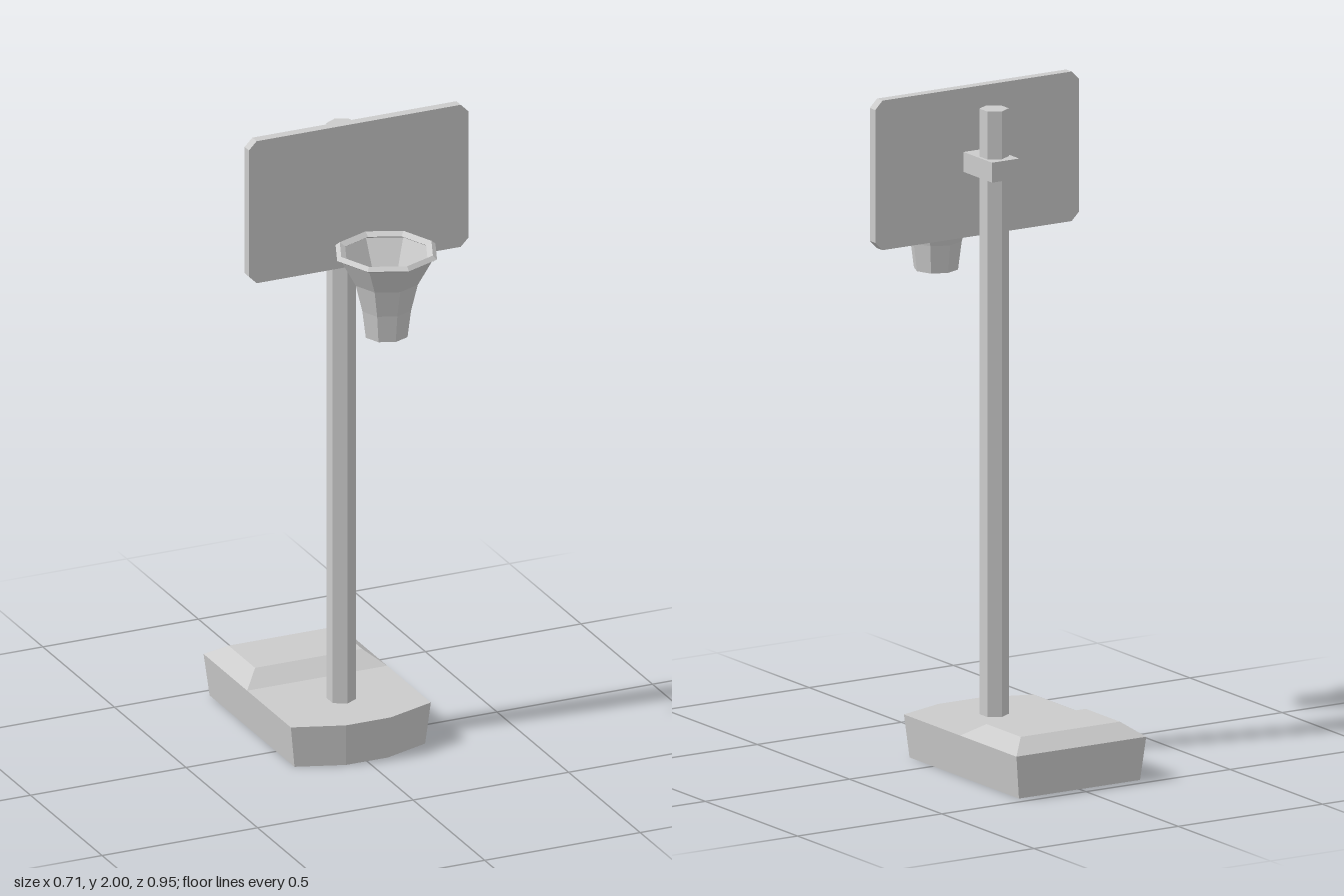
import * as THREE from 'three';
import { ConvexGeometry } from 'three/addons/geometries/ConvexGeometry.js';

const material = new THREE.MeshStandardMaterial({ color: 0xcccccc, flatShading: true });
const thinMaterial = material.clone();
thinMaterial.side = THREE.DoubleSide;

export function createModel() {
  const model = new THREE.Group();
  const add = (name, geometry, x = 0, y = 0, z = 0, mat = material) => {
    const mesh = new THREE.Mesh(geometry, mat);
    mesh.name = name;
    mesh.position.set(x, y, z);
    model.add(mesh);
  };

  // Convex solid from [halfWidth, y, z] points mirrored across x
  const mirroredHull = (points) => new ConvexGeometry(points.flatMap(([x, y, z]) => [
    new THREE.Vector3(x, y, z), new THREE.Vector3(-x, y, z),
  ]));

  // Tapered base with an angled front
  add('base', mirroredHull([
    [0.225, 0.13, -0.475], [0.225, 0.13, 0.135], [0.072, 0.13, 0.188],
    [0.21, 0, -0.465], [0.21, 0, 0.128], [0.067, 0, 0.178],
  ]));

  // Raised ballast hump at the back
  add('ballastHump', mirroredHull([
    [0.225, 0.13, -0.475], [0.225, 0.13, -0.17],
    [0.172, 0.17, -0.415], [0.172, 0.17, -0.23],
  ]));

  // Hexagonal pole and the bracket around it
  add('pole', new THREE.CylinderGeometry(0.043, 0.043, 1.83, 6), 0, 1.037, -0.002);
  add('bracket', new THREE.BoxGeometry(0.094, 0.06, 0.157), 0, 1.778, 0.0135);

  // Backboard with clipped corners
  const w = 0.353, h = 0.225, c = 0.025;
  const outline = new THREE.Shape([
    [w, h - c], [w - c, h], [c - w, h], [-w, h - c],
    [-w, c - h], [c - w, -h], [w - c, -h], [w, c - h],
  ].map(([x, y]) => new THREE.Vector2(x, y)));
  add('backboard', new THREE.ExtrudeGeometry(outline, { depth: 0.03, bevelEnabled: false }), 0, 1.775, 0.09);

  // Octagonal rim and open net
  const lathe = (points) => new THREE.LatheGeometry(points.map(([r, y]) => new THREE.Vector2(r, y)), 8);
  add('rim', lathe([[0.143, 1.655], [0.158, 1.664], [0.145, 1.675], [0.128, 1.664], [0.143, 1.655]]),
    0, 0, 0.313, thinMaterial);
  add('net', lathe([[0.066, 1.405], [0.077, 1.49], [0.098, 1.575], [0.143, 1.657]]),
    0, 0, 0.313, thinMaterial);

  return model;
}
